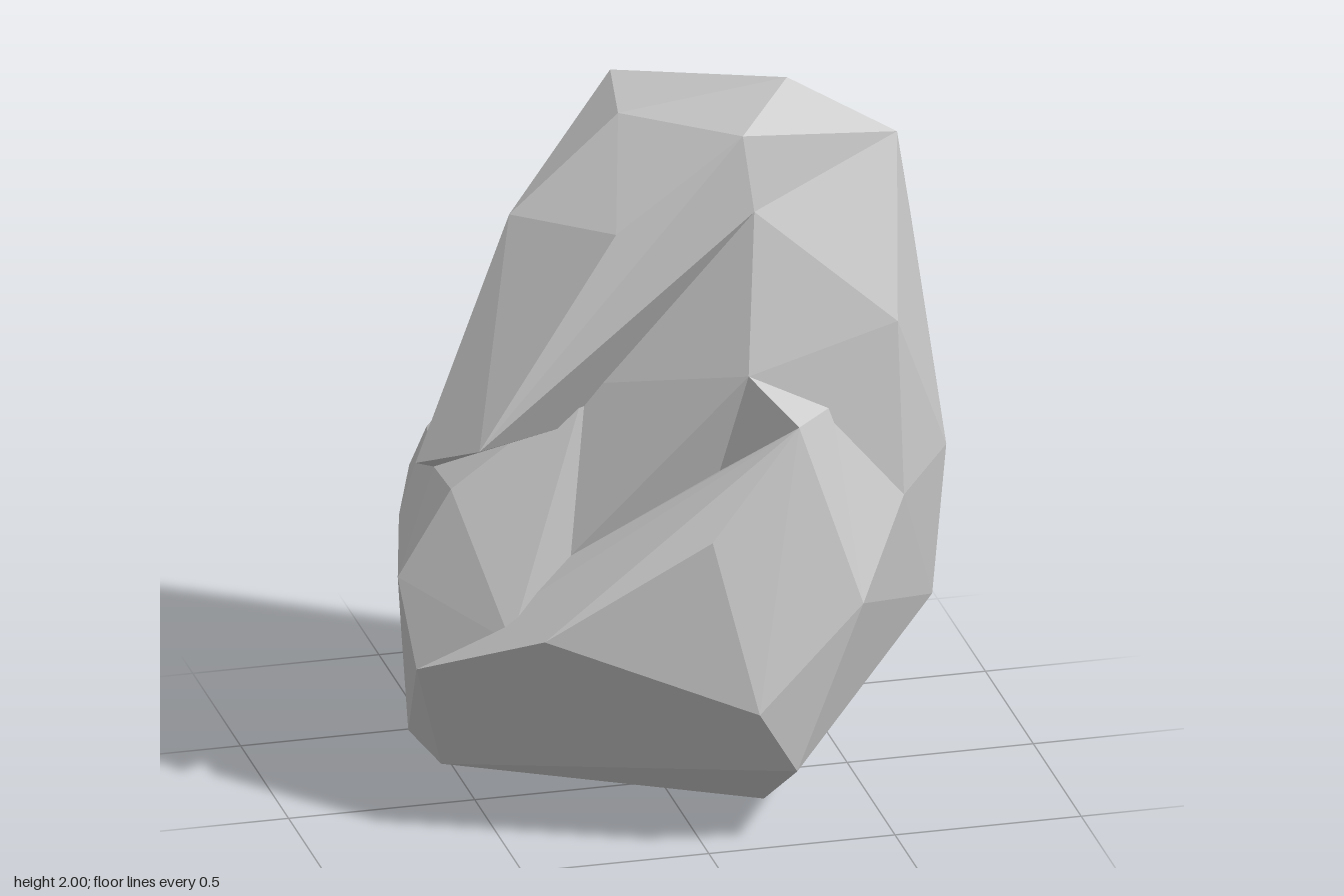
import * as THREE from 'three';
import { ConvexGeometry } from 'three/addons/geometries/ConvexGeometry.js';

// Chipped corners of the boulder, grouped by region
const crown = {
  peak: [0.31, 2.0, 0.11], brow: [0.13, 1.95, 0.35], shoulder: [0.58, 1.86, 0.21],
  topLeft: [-0.11, 1.89, -0.02], slope: [-0.4, 1.63, -0.03], browSide: [-0.2, 1.69, 0.31],
  beak: [-0.57, 1.12, 0.32], beakTip: [-0.69, 1.02, 0.12],
  topBack: [-0.04, 1.86, -0.375], backUp: [-0.04, 1.66, -0.56], backMid: [-0.085, 1.265, -0.625],
  backCut: [-0.28, 1.345, -0.46],
};
const notch = {
  apex: [0.157, 1.74, 0.365], inner: [-0.255, 1.235, 0.21], deep: [-0.6, 0.935, -0.04],
  cheek: [0.125, 1.305, 0.43], ledgeLow: [-0.3, 0.76, 0.225], ledgeMid: [0.06, 1.0, 0.35],
};
const flank = {
  sideUp: [0.7, 1.475, -0.11], side: [0.72, 0.95, 0.18], sideLow: [0.695, 0.51, 0.13],
  sideBack: [0.6, 1.095, -0.225], sideBackLow: [0.585, 0.485, -0.06],
  frontUp: [0.537, 1.4, 0.385], frontLow: [0.55, 0.915, 0.4],
  backLow: [0.29, 0.79, -0.4], backValley: [-0.134, 0.67, -0.518],
};
const lip = {
  top: [0.235, 1.19, 0.53], fold: [0.355, 1.185, 0.4], corner: [0.405, 0.68, 0.54],
  belly: [0.105, 0.43, 0.625], chin: [0.23, 0.22, 0.53], rim: [-0.01, 0.91, 0.58],
  rimEnd: [-0.43, 0.625, 0.46], step: [-0.48, 0.565, 0.3], stepLow: [-0.54, 0.4, 0.2],
};
const lobe = {
  out: [-0.73, 0.69, 0.09], low: [-0.695, 0.45, 0.15], lowBack: [-0.69, 0.49, -0.03],
  upBack: [-0.665, 0.76, -0.15], top: [-0.56, 0.95, -0.27], topIn: [-0.25, 1.115, -0.36],
  backIn: [-0.205, 1.065, -0.496], back: [-0.365, 0.93, -0.59], backOut: [-0.55, 0.75, -0.49],
  backLow: [-0.48, 0.51, -0.51], topFront: [-0.6, 0.945, 0.14],
};
const foot = {
  front: [0.23, 0, 0.18], back: [-0.49, 0.075, -0.28],
  left: [-0.575, 0.085, -0.06], leftUp: [-0.64, 0.15, -0.15],
};

const material = new THREE.MeshStandardMaterial({ color: 0xcccccc, flatShading: true });

// One faceted convex chunk spanning the given corners
function chunk(name, corners) {
  const points = corners.map((c) => new THREE.Vector3(...c));
  const mesh = new THREE.Mesh(new ConvexGeometry(points), material);
  mesh.name = name;
  return mesh;
}

export function createModel() {
  const model = new THREE.Group();
  model.name = 'boulder';
  const all = Object.values;

  // Overhanging top with the wedge-shaped notch beneath it
  model.add(chunk('overhangingTop', [
    ...all(crown), notch.apex, notch.inner, notch.deep, flank.sideUp, flank.sideBack,
  ]));

  // Main mass: right side, back and the wall behind the ledge
  model.add(chunk('mainMass', [
    ...all(flank), ...all(foot), crown.shoulder, crown.backMid,
    notch.apex, notch.inner, notch.cheek, notch.ledgeLow, notch.ledgeMid, lip.fold,
  ]));

  // Protruding front slab whose upper rim forms the ledge
  model.add(chunk('frontSlab', [
    ...all(lip), notch.ledgeLow, notch.ledgeMid, lobe.low,
    foot.front, foot.left, foot.leftUp, flank.sideLow,
  ]));

  // Small bridge between the slab and the wall
  model.add(chunk('slabBridge', [notch.cheek, lip.top, lip.fold, notch.ledgeMid]));

  // Lower right corner beside the slab
  model.add(chunk('lowerRightCorner', [
    lip.fold, lip.corner, lip.chin, flank.frontLow, flank.side,
    flank.sideLow, flank.sideBackLow, foot.front,
  ]));

  // Bulge low on the other side, below the overhang
  model.add(chunk('lowerLeftBulge', [
    ...all(lobe), notch.inner, notch.deep, notch.ledgeLow, lip.step, lip.stepLow,
    flank.backValley, foot.back, foot.left, foot.leftUp,
  ]));

  return model;
}
